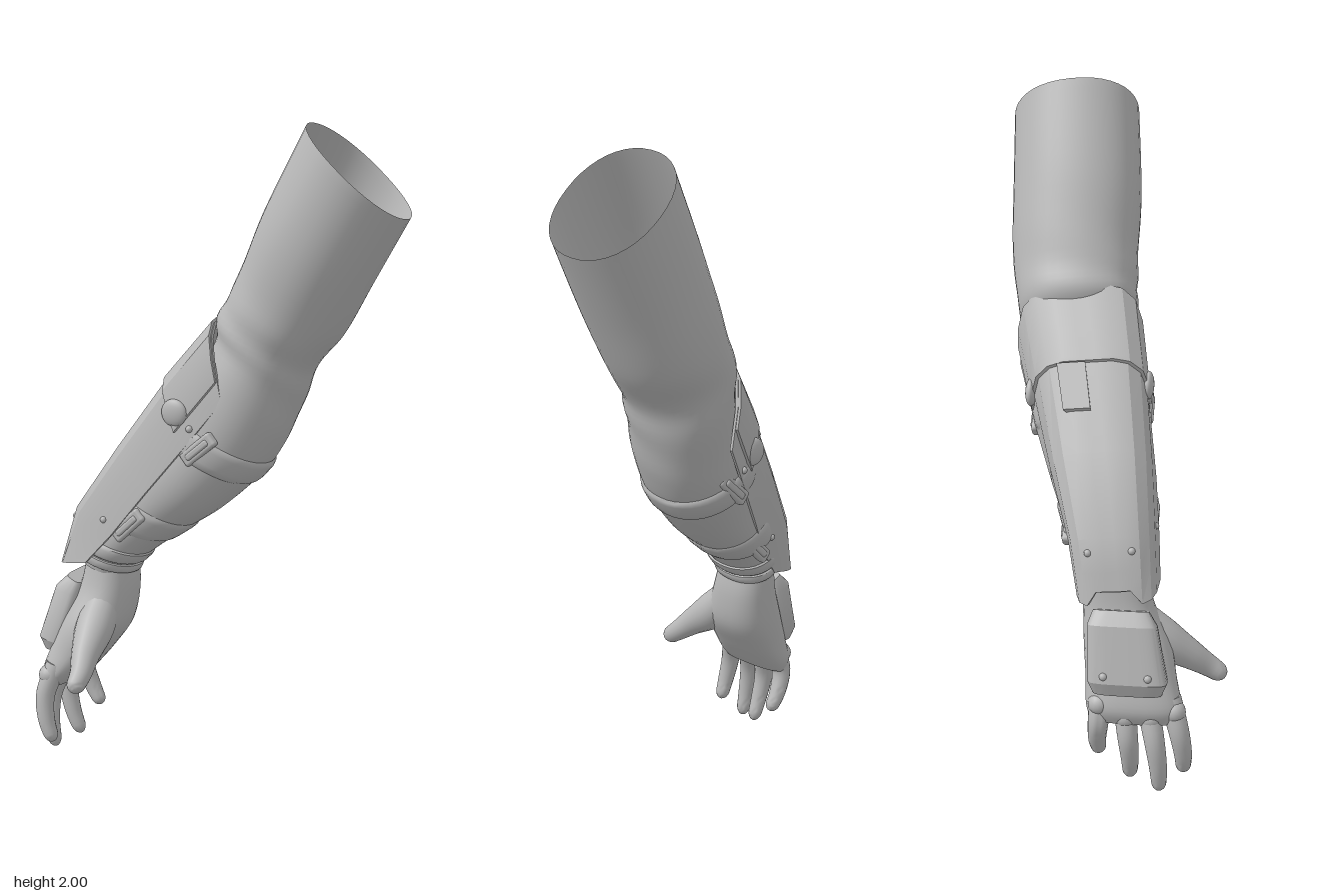
import * as THREE from 'three';
import { toCreasedNormals } from 'three/addons/utils/BufferGeometryUtils.js';
import { RoundedBoxGeometry } from 'three/addons/geometries/RoundedBoxGeometry.js';

const V = (x, y, z) => new THREE.Vector3(x, y, z);

// Skin a list of rings (equal, even point counts); caps zip each end ring shut
function loft(rings, { cap = true, crease = 0.7 } = {}) {
  const n = rings[0].length, m = rings.length, pos = [], idx = [];
  rings.forEach(r => r.forEach(p => pos.push(p.x, p.y, p.z)));
  for (let i = 0; i < m - 1; i++) for (let j = 0; j < n; j++) {
    const a = i * n + j, b = i * n + (j + 1) % n;
    idx.push(a, b, b + n, a, b + n, a + n);
  }
  if (cap) for (const base of [0, (m - 1) * n]) for (let j = 0; j < n / 2 - 1; j++) {
    const a = base + j, b = a + 1, c = base + n - 2 - j, d = c + 1;
    if (base) idx.push(a, b, c, a, c, d);
    else idx.push(a, c, b, a, d, c);
  }
  // Turn faces outward by checking the enclosed volume
  const all = rings.flat(), mid = V(0, 0, 0);
  all.forEach(p => mid.addScaledVector(p, 1 / all.length));
  let vol = 0;
  for (let i = 0; i < idx.length; i += 3) {
    const [a, b, c] = [0, 1, 2].map(k => all[idx[i + k]].clone().sub(mid));
    vol += a.dot(b.cross(c));
  }
  if (vol < 0) idx.reverse();
  const g = new THREE.BufferGeometry();
  g.setAttribute('position', new THREE.Float32BufferAttribute(pos, 3));
  g.setIndex(idx);
  return toCreasedNormals(g, crease);
}

// Value of a station table at a fractional row, smooth or straight
function sample(rows, t, smooth = true) {
  const i = Math.min(Math.floor(t), rows.length - 2), f = t - i;
  const at = k => rows[Math.max(0, Math.min(rows.length - 1, k))];
  return rows[i].map((b, k) => {
    const a = at(i - 1)[k], c = at(i + 1)[k], d = at(i + 2)[k];
    if (!smooth) return b + (c - b) * f;
    return b + 0.5 * f * (c - a + f * (2 * a - 5 * b + 4 * c - d + f * (3 * (b - c) + d - a)));
  });
}

// Rounded ring across a limb: outer edge, inner edge, front z, back z
function ring([xl, yl, xr, yr, zf, zb], { n = 32, power = 1, tilt = 0.12, grow = () => 0 } = {}) {
  const pts = [], w = Math.hypot(xr - xl, yr - yl) / 2, h = (zf - zb) / 2;
  const shape = v => Math.sign(v) * Math.pow(Math.abs(v), power);
  for (let j = 0; j < n; j++) {
    const th = j / n * Math.PI * 2, o = grow(th);
    const c = shape(Math.cos(th)) * (1 + o / w), s = shape(Math.sin(th)) * (h + o);
    pts.push(V((xl + xr) / 2 + c * (xr - xl) / 2, (yl + yr) / 2 + c * (yr - yl) / 2 + s * tilt, (zf + zb) / 2 + s));
  }
  return pts;
}
const steps = (a, b, n) => Array.from({ length: n + 1 }, (_, i) => a + (b - a) * i / n);

// Sleeve from shoulder opening to wrist
const ARM = [
  [.25, 2.0, .54, 1.73, .02, -.37], [.125, 1.75, .43, 1.53, .04, -.36],
  [.03, 1.53, .345, 1.38, .04, -.35], [-.025, 1.42, .275, 1.29, .045, -.325],
  [-.03, 1.34, .235, 1.19, .05, -.31], [-.09, 1.22, .185, 1.05, .075, -.28],
  [-.17, 1.1, .12, .94, .09, -.25], [-.26, .97, 0, .82, .115, -.19],
  [-.34, .83, -.13, .73, .13, -.14], [-.42, .70, -.245, .64, .145, -.085],
  [-.43, .62, -.28, .58, .135, -.065]];

// Forearm guard: outer ridge, lower edge, front z, back z
const GUARD = [
  [.005, 1.43, .065, 1.18, .065, -.31], [-.14, 1.25, -.05, 1.03, .1, -.25],
  [-.30, 1.02, -.17, .88, .13, -.18], [-.44, .81, -.28, .74, .15, -.11],
  [-.49, .62, -.37, .64, .162, -.075]];
function guardPoint(t, u, v, out = 0) {
  const [ox, oy, ex, ey, zf, zb] = sample(GUARD, t, false);
  const len = Math.hypot(ox - ex, oy - ey), k = u + out * u / len, h = (zf - zb) / 2;
  const z = (zf + zb) / 2 + v * (h + out);
  return V(ex + (ox - ex) * k, ey + (oy - ey) * k + 0.1 * (z - zf), z);
}
// Plate following the guard, profile in (height, width) fractions
function guardPlate(ts, profile, out, inner, notch = 0) {
  return loft(ts.map((t, i) => {
    const at = (u, v, o) => guardPoint(i === ts.length - 1 && Math.abs(v) < .5 ? t - notch : t, u, v, o);
    return [...profile.map(([u, v]) => at(u, v, out)),
      ...profile.slice().reverse().map(([u, v]) => at(u, v, inner))];
  }), { crease: 0.45 });
}
const mirrorProfile = half => [...half, ...half.slice().reverse().map(([u, v]) => [u, -v])];

// Tapered finger with a rounded tip
function finger(points, radii) {
  const curve = new THREE.CatmullRomCurve3(points.map(p => V(...p)));
  const ts = [...steps(0, .88, 14), .92, .95, .975, .99, 1];
  return loft(ts.map(t => {
    const c = curve.getPoint(t), d = curve.getTangent(t);
    const a = V(1, 0, 0).cross(d).normalize(), b = d.clone().cross(a);
    const round = t > .88 ? Math.sqrt(Math.max(.01, 1 - ((t - .88) / .12) ** 2)) : 1;
    const r = sample(radii.map(v => [v]), t * (radii.length - 1))[0] * round;
    return steps(0, 15, 15).map(j => c.clone()
      .addScaledVector(a, r * Math.cos(j * Math.PI / 8)).addScaledVector(b, r * Math.sin(j * Math.PI / 8)));
  }), { crease: 1.2 });
}

export function createModel() {
  const model = new THREE.Group();
  const grey = new THREE.MeshStandardMaterial({ color: 0xb8b8b8, side: THREE.DoubleSide });
  grey.name = 'plain grey';
  const add = (name, geo, parent = model) => {
    const mesh = new THREE.Mesh(geo, grey);
    mesh.name = name;
    parent.add(mesh);
    return mesh;
  };

  // Sleeve with faint folds around the elbow
  add('sleeve', loft(steps(0, 10, 60).map(t => ring(sample(ARM, t), {
    n: 40, power: .92,
    grow: th => .003 * Math.sin(4 * t + 3 * Math.cos(th + t)) * Math.exp(-(((t - 3.2) / 1.5) ** 2)),
  })), { cap: false, crease: 1.2 }));

  // Straps and wrist cuff wrapped over the sleeve
  const wrap = (name, t0, t1, g) => add(name, loft(
    [[0, 0], [.08, .7], [.25, 1], [.75, 1], [.92, .7], [1, 0]].map(([f, k]) =>
      ring(sample(ARM, t0 + (t1 - t0) * f), { n: 40, power: .92, grow: () => g * k })), { cap: false, crease: .8 }));
  wrap('elbowStrap', 5.7, 6.3, .01);
  wrap('forearmStrap', 7.65, 8.3, .009);
  wrap('upperCuff', 8.8, 9.25, .01);
  wrap('lowerCuff', 9.3, 9.75, .008);

  // Forearm guard, raised elbow band and top inlay
  const edge = [[.5, .96], [.78, .86], [.94, .66], [1, .4], [1, .12]];
  add('forearmGuard', guardPlate([0, 1, 2, 3, 3.5, 4], mirrorProfile([[0, 1], ...edge]), .004, -.006, .22));
  add('elbowBand', guardPlate([.02, .06, .5, .98, 1.03], mirrorProfile([[.25, .98], ...edge]), .013, 0));
  add('topInlay', guardPlate([1.05, 1.55], [[1, -.5], [1, -.05]], .016, 0));

  // Side knobs, buckles and rivets on both faces of the guard
  for (const side of [1, -1]) {
    const where = side > 0 ? 'front' : 'back';
    const knob = add(where + 'Knob', new THREE.SphereGeometry(.043, 24, 12));
    knob.scale.z = .4;
    knob.position.copy(guardPoint(.92, .43, side * .96, .01));
    [[0, 1.035, .09, -.25, .7], [-.23, .775, .128, -.125, .75]].forEach(([x, y, zf, zb, a], i) => {
      const buckle = new THREE.Group();
      buckle.name = where + 'Buckle' + (i + 1);
      buckle.position.set(x, side > 0 ? y : y - .03, side > 0 ? zf : zb);
      buckle.rotation.z = a;
      add('buckleFrame', new RoundedBoxGeometry(.13, .048, .03, 2, .01), buckle);
      add('buckleBar', new RoundedBoxGeometry(.095, .022, .04, 2, .008), buckle);
      model.add(buckle);
    });
    const spots = [guardPoint(.75, .12, side, .002), guardPoint(2.85, .3, side * .97, .002),
      guardPoint(3.2, 1, side * .5, 0)];
    spots.forEach(s => add('rivet', new THREE.SphereGeometry(.011, 12, 8)).position.copy(s));
  }

  // Palm
  const PALM = [
    [-.42, .65, -.28, .62, .125, -.065], [-.435, .55, -.27, .53, .15, -.065],
    [-.475, .45, -.285, .42, .2, -.06], [-.505, .36, -.345, .33, .222, -.05],
    [-.525, .28, -.40, .265, .24, -.045], [-.51, .23, -.435, .23, .23, -.03]];
  add('palm', loft(steps(0, 5, 25).map(t => ring(sample(PALM, t), { power: .8, tilt: 0 })), { crease: 1.2 }));

  // Fingers with a knuckle at each root
  const FINGERS = {
    indexFinger: [[-.46, .30, .205], [-.485, .2, .235], [-.475, .12, .247], [-.45, .05, .247]],
    middleFinger: [[-.47, .28, .14], [-.505, .18, .163], [-.505, .09, .175], [-.488, .0, .178]],
    ringFinger: [[-.47, .28, .07], [-.495, .18, .083], [-.48, .1, .088], [-.448, .02, .086]],
    littleFinger: [[-.47, .29, .0], [-.488, .22, -.006], [-.465, .15, -.012], [-.43, .09, -.01]],
  };
  for (const [name, pts] of Object.entries(FINGERS)) {
    add(name, finger(pts, [.034, .031, .027, .022]));
    const knuckle = add(name + 'Knuckle', new THREE.SphereGeometry(.034, 16, 12));
    knuckle.position.set(pts[0][0] - .018, pts[1][1] + .065, pts[0][2] * .5 + pts[1][2] * .5);
  }
  add('thumb', finger([[-.345, .51, .09], [-.335, .43, .17], [-.318, .372, .25], [-.30, .325, .31], [-.297, .29, .362]],
    [.055, .062, .046, .034, .028]));

  // Armour plate on the back of the hand
  const PLATE = [
    [-.465, .58, -.41, .555, .14, -.025], [-.50, .545, -.41, .515, .165, -.04],
    [-.545, .38, -.45, .36, .2, -.035], [-.53, .335, -.46, .33, .185, -.02]];
  add('handPlate', loft(PLATE.map(r => ring(r, { n: 32, power: .5, tilt: 0 })), { crease: .5 }));
  for (const z of [.015, .145])
    add('plateRivet', new THREE.SphereGeometry(.012, 12, 8)).position.set(-.535, .40, z);

  return model;
}
